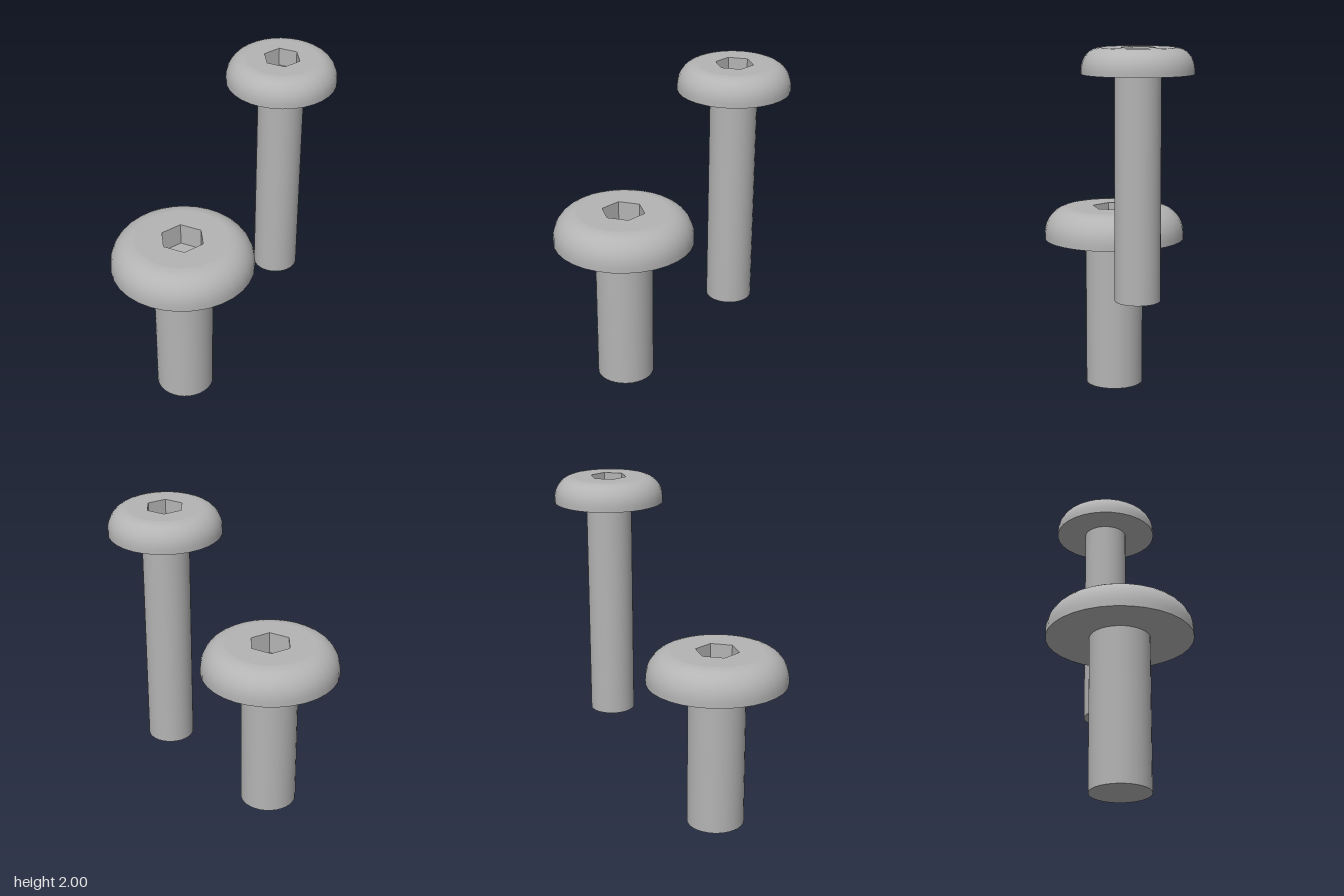
import * as THREE from 'three';

const SIDES = 32;
const steel = new THREE.MeshStandardMaterial({ color: 0xb4b4b4 });
steel.name = 'steel grey';

function part(name, geometry, y = 0) {
  const mesh = new THREE.Mesh(geometry, steel);
  mesh.name = name;
  mesh.position.y = y;
  return mesh;
}

// Points of a regular polygon, with a corner on the x axis
function ring(radius, count) {
  return Array.from({ length: count }, (_, i) => {
    const a = (i / count) * Math.PI * 2;
    return new THREE.Vector2(radius * Math.cos(a), radius * Math.sin(a));
  });
}

function createBolt(name, { bottom, neck, top, shaftRadius, headRadius, flatRadius, rim, socketRadius, socketDepth }) {
  const bolt = new THREE.Group();
  bolt.name = name;

  // Shaft with a flat end
  bolt.add(part('shaft', new THREE.CylinderGeometry(shaftRadius, shaftRadius, neck - bottom, SIDES), (neck + bottom) / 2));

  // Flat underside of the head
  const underside = new THREE.RingGeometry(shaftRadius, headRadius, SIDES);
  underside.rotateX(Math.PI / 2);
  bolt.add(part('headUnderside', underside, neck));

  // Short straight rim, then a rounded shoulder up to the flat top
  const profile = [new THREE.Vector2(headRadius, neck)];
  for (let i = 0; i <= 8; i++) {
    const a = (i / 8) * Math.PI / 2;
    profile.push(new THREE.Vector2(
      flatRadius + (headRadius - flatRadius) * Math.cos(a),
      neck + rim + (top - neck - rim) * Math.sin(a)));
  }
  bolt.add(part('headDome', new THREE.LatheGeometry(profile, SIDES)));

  // Flat top pierced by the hexagonal socket
  const face = new THREE.Shape(ring(flatRadius, SIDES));
  face.holes.push(new THREE.Path(ring(socketRadius, 6).reverse()));
  const faceGeometry = new THREE.ShapeGeometry(face);
  faceGeometry.rotateX(-Math.PI / 2);
  bolt.add(part('headTop', faceGeometry, top));

  // Socket walls facing inward, and the socket floor
  const walls = new THREE.CylinderGeometry(socketRadius, socketRadius, socketDepth, 6, 1, true).toNonIndexed();
  walls.rotateY(Math.PI / 2);
  walls.scale(-1, 1, 1);
  walls.computeVertexNormals();
  bolt.add(part('socketWalls', walls, top - socketDepth / 2));

  const floor = new THREE.CircleGeometry(socketRadius, 6);
  floor.rotateX(-Math.PI / 2);
  bolt.add(part('socketFloor', floor, top - socketDepth));
  return bolt;
}

export function createModel() {
  const model = new THREE.Group();
  model.name = 'bolts';

  const large = createBolt('largeBolt', {
    bottom: 0, neck: 0.87, top: 1.055, shaftRadius: 0.167, headRadius: 0.405,
    flatRadius: 0.265, rim: 0.03, socketRadius: 0.126, socketDepth: 0.13,
  });
  large.position.set(-0.123, 0, 0.206);

  const small = createBolt('smallBolt', {
    bottom: 0.65, neck: 1.862, top: 2, shaftRadius: 0.124, headRadius: 0.297,
    flatRadius: 0.195, rim: 0.023, socketRadius: 0.1, socketDepth: 0.1,
  });
  small.position.set(0.23, 0, -0.316);

  model.add(large, small);
  return model;
}
